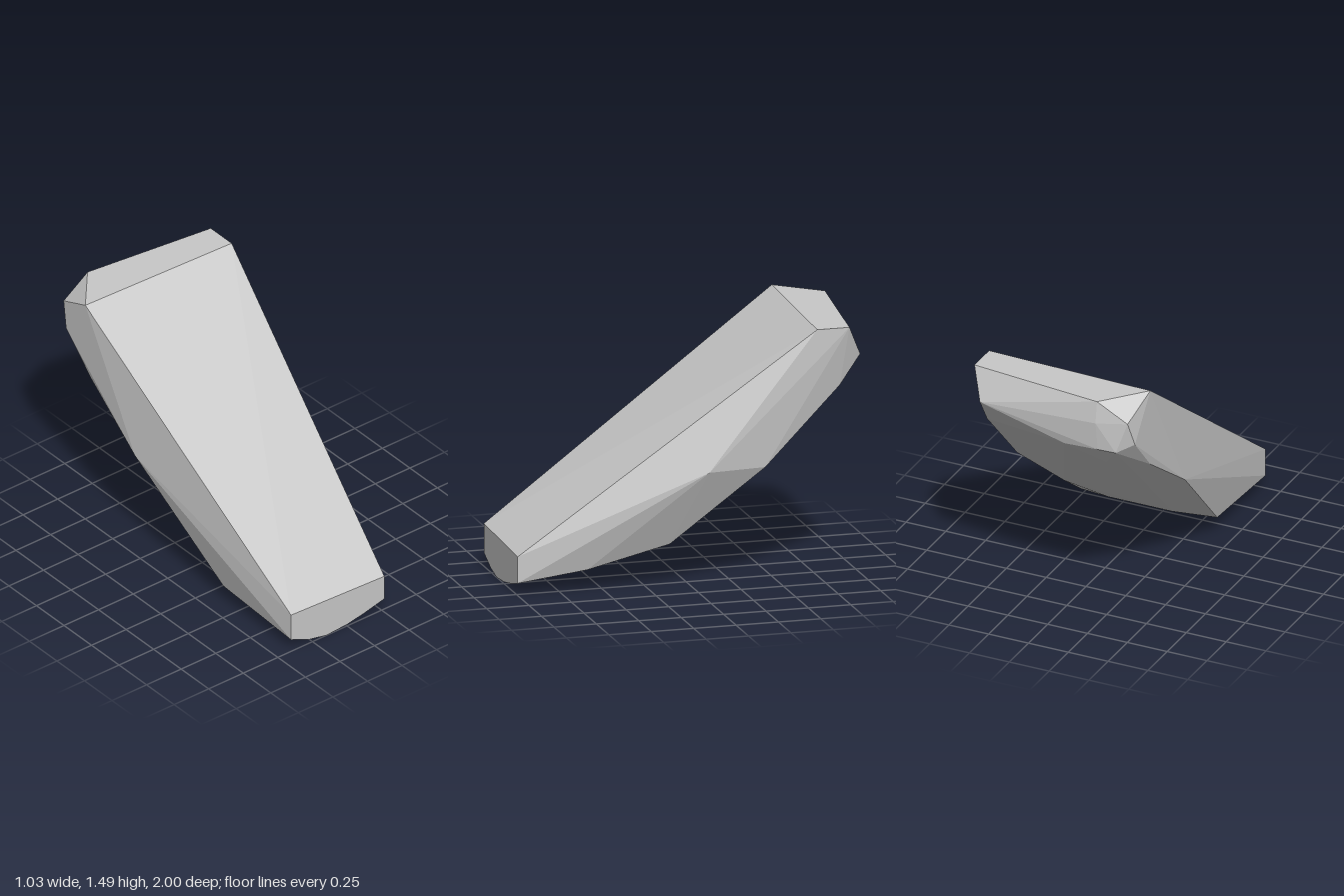
import * as THREE from 'three';
import { ConvexGeometry } from 'three/addons/geometries/ConvexGeometry.js';

export function createModel() {
  const group = new THREE.Group();
  group.name = 'facetedWedge';
  const grey = new THREE.MeshStandardMaterial({ color: 0xc8c8c8 });
  grey.name = 'plain grey';

  // Cross-sections of the convex block, corners as [x, y, z]
  const frontEnd = [
    [-0.405, 0.25, 1], [0.27, 0.225, 1], [0.27, 0.07, 1], [0.13, 0.035, 1],
    [0, 0.01, 1], [-0.15, 0, 1], [-0.27, 0.025, 1], [-0.405, 0.08, 1],
  ];
  const topFace = [
    [-0.515, 1.49, -0.73], [0.515, 1.49, -0.695], [0.515, 1.49, -0.885], [-0.3, 1.49, -0.98],
  ];
  const backEnd = [
    [-0.3, 1.36, -1], [0.44, 1.31, -0.97], [-0.485, 1.38, -0.965], [-0.507, 1.23, -0.915],
    [-0.42, 1.19, -0.985], [-0.31, 1.19, -0.99], [-0.09, 1.17, -0.97], [0.455, 1.14, -0.845],
  ];
  const middle = [
    [0.515, 0.7, -0.06], [0.48, 0.7, -0.4], [-0.515, 0.7, -0.28], [-0.5, 1, -0.7],
    [-0.3, 1.04, -0.85], [0.27, 0.6, -0.33], [0.28, 0.47, -0.2],
  ];
  const underside = [
    [0.33, 0.25, 0.12], [0.31, 0.13, 0.6], [0.1, 0.31, 0], [-0.3, 0.31, 0],
    [-0.1, 0.15, 0.28], [-0.2, 0.1, 0.41], [-0.4, 0.11, 0.38],
  ];

  // Faceted body, flat on every face
  const points = [frontEnd, topFace, backEnd, middle, underside]
    .flat()
    .map((p) => new THREE.Vector3(...p));
  const body = new THREE.Mesh(new ConvexGeometry(points), grey);
  body.name = 'body';
  group.add(body);
  return group;
}
